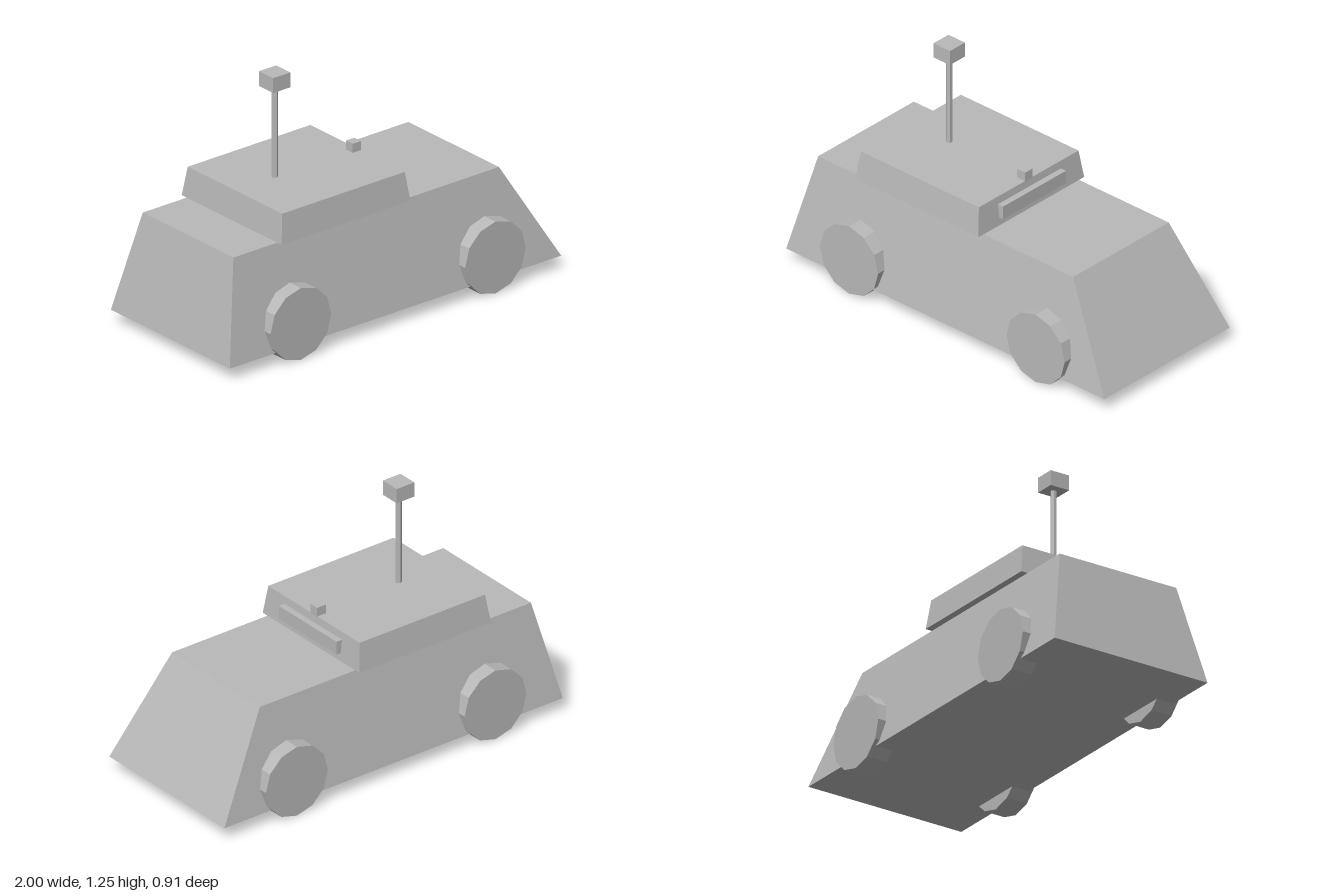
import * as THREE from 'three';

const grey = new THREE.MeshStandardMaterial({ color: 0xb8b8b8, flatShading: true });
grey.name = 'plain grey';

function addPart(group, name, geometry, x, y, z) {
  const mesh = new THREE.Mesh(geometry, grey);
  mesh.name = name;
  mesh.position.set(x, y, z);
  group.add(mesh);
  return mesh;
}

// Box spanning the given x and y ranges, centred on z = 0
function addBox(group, name, x0, x1, y0, y1, depth) {
  const geometry = new THREE.BoxGeometry(x1 - x0, y1 - y0, depth);
  return addPart(group, name, geometry, (x0 + x1) / 2, (y0 + y1) / 2, 0);
}

// Box whose bottom and top rectangles differ: each is { y, back, front, half }
function taperedBox(bottom, top) {
  const geometry = new THREE.BoxGeometry(1, 1, 1);
  const p = geometry.attributes.position;
  for (let i = 0; i < p.count; i++) {
    const end = p.getY(i) > 0 ? top : bottom;
    p.setXYZ(i, p.getX(i) > 0 ? end.front : end.back, end.y, Math.sign(p.getZ(i)) * end.half);
  }
  geometry.computeVertexNormals();
  return geometry;
}

export function createModel() {
  const model = new THREE.Group();
  model.name = 'vehicle';

  // Sloped hull and the cabin on top of it
  addPart(model, 'hull', taperedBox(
    { y: 0.067, back: -1, front: 1, half: 0.433 },
    { y: 0.567, back: -0.893, front: 0.71, half: 0.33 }), 0, 0, 0);
  addPart(model, 'cabin', taperedBox(
    { y: 0.568, back: -0.63, front: 0.147, half: 0.364 },
    { y: 0.714, back: -0.61, front: 0.13, half: 0.344 }), 0, 0, 0);

  // Bar across the cabin front and the small block above it
  addBox(model, 'frontBar', 0.13, 0.167, 0.608, 0.676, 0.434);
  addBox(model, 'roofBlock', 0.08, 0.131, 0.71, 0.76, 0.05);

  // Mast with its head
  addPart(model, 'mast', new THREE.CylinderGeometry(0.015, 0.015, 0.47, 6), -0.37, 0.942, 0);
  addBox(model, 'mastHead', -0.422, -0.318, 1.173, 1.249, 0.104);

  // Four twelve-sided wheels
  const wheel = new THREE.CylinderGeometry(0.183, 0.183, 0.113, 12).rotateX(Math.PI / 2);
  for (const x of [-0.587, 0.587]) {
    for (const side of [-1, 1]) {
      const name = (x > 0 ? 'front' : 'rear') + 'Wheel' + (side > 0 ? 'Near' : 'Far');
      addPart(model, name, wheel, x, 0.183, side * 0.3965);
    }
  }
  return model;
}
